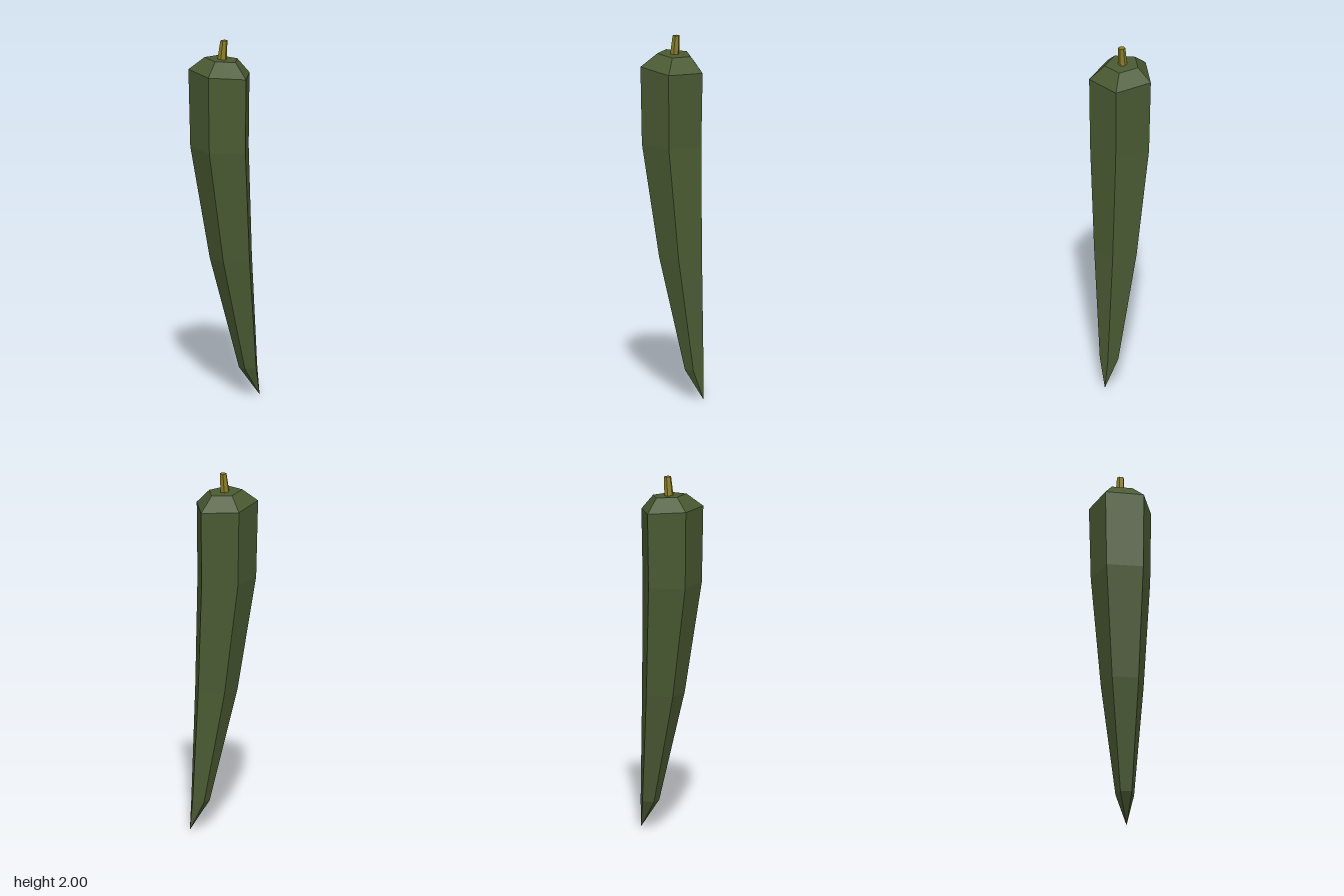
import * as THREE from 'three';

// Closed faceted solid through rings listed from top to bottom.
// Each ring: [centre x, centre y, centre z, radius, tilt (rise in y per unit of x)]
function loft(rings, sides, start, material, name) {
  const positions = [];
  const point = ([cx, cy, cz, r, tilt], i) => {
    const a = start + (i / sides) * Math.PI * 2;
    const dx = r * Math.cos(a);
    return [cx + dx, cy + tilt * dx, cz + r * Math.sin(a)];
  };
  for (let k = 0; k < rings.length - 1; k++) {
    const upper = rings[k], lower = rings[k + 1];
    for (let i = 0; i < sides; i++) {
      const a = point(upper, i), b = point(upper, i + 1);
      const c = point(lower, i), d = point(lower, i + 1);
      if (upper[3] > 0) positions.push(...a, ...b, ...c);
      if (lower[3] > 0) positions.push(...b, ...d, ...c);
    }
  }
  const geometry = new THREE.BufferGeometry();
  geometry.setAttribute('position', new THREE.Float32BufferAttribute(positions, 3));
  geometry.computeVertexNormals();
  const mesh = new THREE.Mesh(geometry, material);
  mesh.name = name;
  return mesh;
}

export function createModel() {
  const green = new THREE.MeshStandardMaterial({ color: 0x4a5a32, flatShading: true });
  green.name = 'podGreen';
  const olive = new THREE.MeshStandardMaterial({ color: 0x8a7e22, flatShading: true });
  olive.name = 'stemOlive';

  const group = new THREE.Group();
  group.name = 'vegetablePod';

  // Five-sided pod, bending sideways to a pointed tip
  group.add(loft([
    [-0.018, 1.897, 0.008, 0, 0],
    [-0.018, 1.897, 0.008, 0.097, -0.09],
    [-0.025, 1.82, 0.015, 0.18, -0.1],
    [-0.023, 1.4, 0.017, 0.172, -0.03],
    [0.038, 0.78, 0.013, 0.124, 0.04],
    [0.131, 0.16, 0.007, 0.054, 0.05],
    [0.193, 0, 0.003, 0, 0],
  ], 5, -Math.PI / 2, green, 'pod'));

  // Short six-sided stem, leaning slightly
  group.add(loft([
    [-0.008, 2, 0.007, 0, 0],
    [-0.008, 2, 0.007, 0.02, 0],
    [-0.019, 1.89, 0.007, 0.026, -0.09],
    [-0.019, 1.89, 0.007, 0, 0],
  ], 6, 0, olive, 'stem'));

  return group;
}
